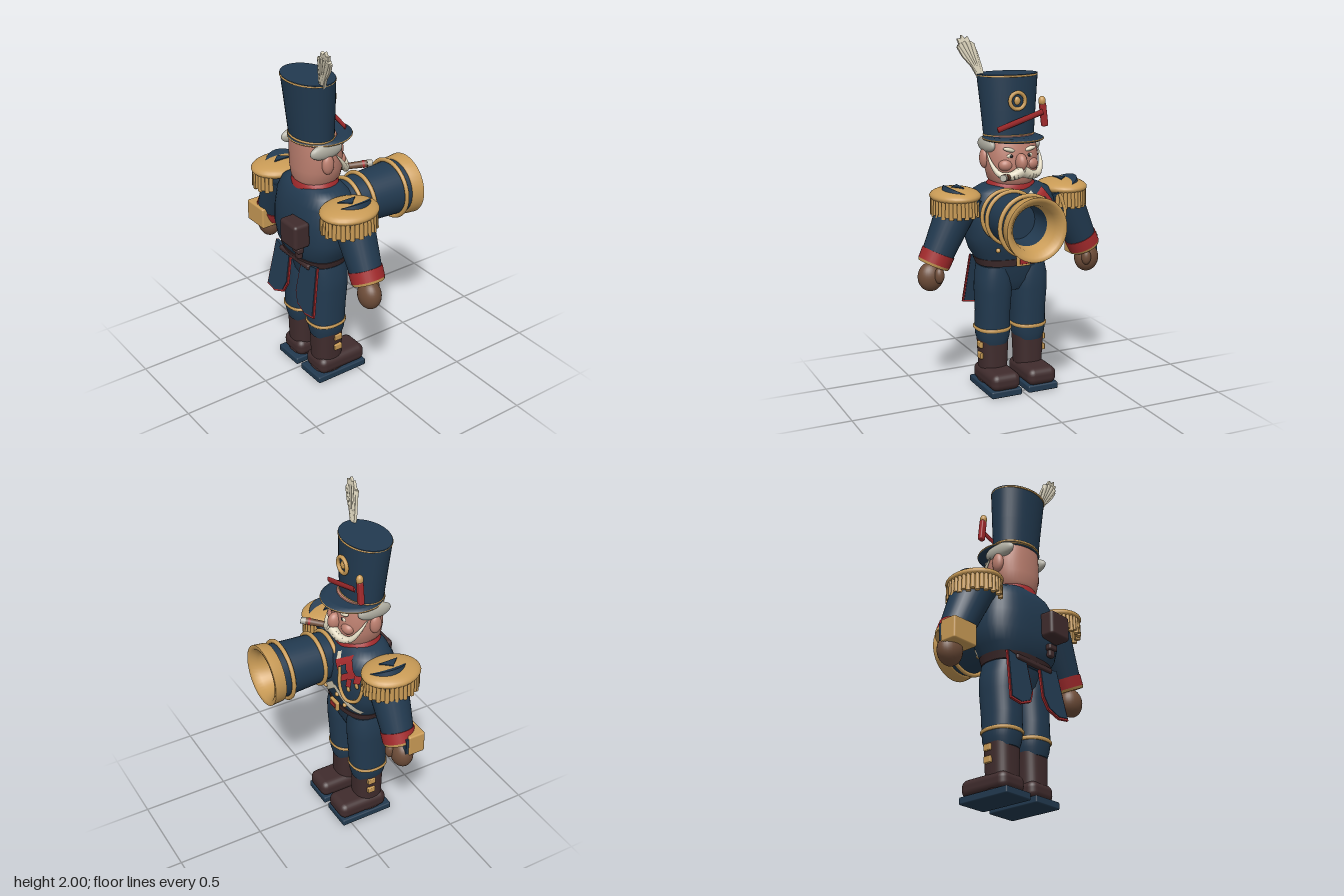
import * as THREE from 'three';
import { RoundedBoxGeometry } from 'three/addons/geometries/RoundedBoxGeometry.js';

const mat = (name, color) => Object.assign(new THREE.MeshStandardMaterial({ color }), { name });
const V = (x, y, z) => new THREE.Vector3(x, y, z);

// Rings are [y, halfX, centreZ, halfZ]; n is the squareness of the cross-section.
function loft(rings, n = 2, capped = true, seg = 40) {
  const pos = [], idx = [];
  const ring = ([y, hx, cz, hz]) => {
    const start = pos.length / 3;
    for (let j = 0; j < seg; j++) {
      const a = j / seg * Math.PI * 2, c = Math.cos(a), s = Math.sin(a);
      pos.push(hx * Math.sign(c) * Math.abs(c) ** (2 / n), y, cz + hz * Math.sign(s) * Math.abs(s) ** (2 / n));
    }
    return start;
  };
  const starts = rings.map(ring);
  for (let i = 0; i < starts.length - 1; i++) for (let j = 0; j < seg; j++) {
    const k = (j + 1) % seg, a = starts[i], b = starts[i + 1];
    idx.push(a + j, b + j, a + k, a + k, b + j, b + k);
  }
  if (capped) [rings[0], rings.at(-1)].forEach((r, top) => {
    const s = ring(r), c = pos.length / 3;
    pos.push(0, r[0], r[2]);
    for (let j = 0; j < seg; j++) {
      const k = (j + 1) % seg;
      idx.push(c, s + (top ? k : j), s + (top ? j : k));
    }
  });
  const g = new THREE.BufferGeometry();
  g.setAttribute('position', new THREE.Float32BufferAttribute(pos, 3));
  g.setIndex(idx);
  g.computeVertexNormals();
  return g;
}

const TORSO = [[0.72, 0.19, 0.15, 0.12], [0.76, 0.2, 0.155, 0.135], [0.82, 0.238, 0.155, 0.16], [0.9, 0.265, 0.15, 0.172],
  [1, 0.26, 0.143, 0.178], [1.1, 0.245, 0.142, 0.165], [1.155, 0.22, 0.145, 0.135], [1.18, 0.17, 0.15, 0.11], [1.195, 0.1, 0.15, 0.08]];

// Depth of the chest surface at x, y
function chestZ(x, y) {
  let i = 0;
  while (i < TORSO.length - 2 && TORSO[i + 1][0] < y) i++;
  const a = TORSO[i], b = TORSO[i + 1], t = (y - a[0]) / (b[0] - a[0]);
  const [, hx, cz, hz] = a.map((v, k) => v + (b[k] - v) * t);
  return cz - hz * (1 - Math.min(1, Math.abs(x / hx)) ** 2.5) ** 0.4;
}

// Flat band that hugs the chest from one point to another
function chestBand([x0, y0], [x1, y1], width, lift = 0.006) {
  const pos = [], idx = [], l = Math.hypot(x1 - x0, y1 - y0), N = 10;
  const sx = -(y1 - y0) / l * width / 2, sy = (x1 - x0) / l * width / 2;
  for (let i = 0; i <= N; i++) {
    const x = x0 + (x1 - x0) * i / N, y = y0 + (y1 - y0) * i / N;
    for (const s of [-1, 1]) pos.push(x + s * sx, y + s * sy, chestZ(x + s * sx, y + s * sy) - lift);
    if (i < N) idx.push(2 * i, 2 * i + 1, 2 * i + 2, 2 * i + 1, 2 * i + 3, 2 * i + 2);
  }
  const g = new THREE.BufferGeometry();
  g.setAttribute('position', new THREE.Float32BufferAttribute(pos, 3));
  g.setIndex(idx);
  g.computeVertexNormals();
  return g;
}

export function createModel() {
  const root = new THREE.Group();
  root.name = 'toySoldier';
  const navy = mat('navy', 0x223a50), red = mat('red', 0xa32a2c), gold = mat('gold', 0xc99b56), skin = mat('skin', 0xbd8070),
    leather = mat('darkLeather', 0x402c2d), glove = mat('gloveBrown', 0x6e4d39), ivory = mat('ivory', 0xddd5bd),
    grey = mat('greyHair', 0xb0aea2), black = mat('black', 0x1c1a1c);

  const add = (name, g, m, x = 0, y = 0, z = 0) => {
    const o = new THREE.Mesh(g, m);
    o.name = name;
    o.position.set(x, y, z);
    root.add(o);
    return o;
  };
  const ball = (name, m, x, y, z, rx, ry = rx, rz = rx) => add(name, new THREE.SphereGeometry(1, 28, 18).scale(rx, ry, rz), m, x, y, z);
  const box = (name, m, x, y, z, w, h, d, r = 0.01) => add(name, new RoundedBoxGeometry(w, h, d, 3, r), m, x, y, z);
  const rod = (name, m, a, b, r0, r1, seg = 28) => {
    const o = add(name, new THREE.CylinderGeometry(r1, r0, a.distanceTo(b), seg), m);
    o.position.copy(a).lerp(b, 0.5);
    o.quaternion.setFromUnitVectors(V(0, 1, 0), b.clone().sub(a).normalize());
    return o;
  };
  const tube = (name, m, pts, r) => add(name, new THREE.TubeGeometry(new THREE.CatmullRomCurve3(pts.map(p => V(...p))), 32, r, 8), m);
  const plate = (pts, depth) => new THREE.ExtrudeGeometry(new THREE.Shape(pts.map(p => new THREE.Vector2(...p))), { depth, bevelEnabled: false });
  const hoop = (name, m, y, hx, z, hz, r) => add(name, new THREE.TorusGeometry(1, r / hx, 8, 48).rotateX(Math.PI / 2).scale(hx, r * 0.9 / (r / hx), hz), m, 0, y, z);

  // Body
  add('torso', loft(TORSO, 2.5), navy);
  add('pelvis', loft([[0.58, 0.08, 0.15, 0.07], [0.64, 0.17, 0.15, 0.1], [0.74, 0.19, 0.15, 0.12]], 2.3), navy);
  add('belt', loft([[0.735, 0.199, 0.153, 0.137], [0.775, 0.214, 0.155, 0.147]], 2.5), leather);
  add('collar', loft([[1.165, 0.14, 0.145, 0.125], [1.19, 0.137, 0.145, 0.122], [1.215, 0.115, 0.145, 0.11]]), red);
  box('beltBuckle', gold, -0.01, 0.765, -0.003, 0.08, 0.055, 0.02, 0.006);
  box('buckleInset', red, -0.01, 0.765, -0.013, 0.05, 0.03, 0.008, 0.003);

  // Backpack, holster and back strap
  box('backPack', leather, 0.098, 0.965, 0.345, 0.15, 0.145, 0.1, 0.02);
  box('holster', leather, 0.095, 0.852, 0.325, 0.062, 0.035, 0.04);
  box('holsterTip', leather, 0.095, 0.825, 0.32, 0.042, 0.055, 0.03);
  box('backStrap', leather, 0, 0.742, 0.28, 0.28, 0.03, 0.03);

  // Chest ornaments
  [[[0.08, 0.83], [-0.05, 0.94]], [[-0.05, 0.935], [-0.2, 0.8]]].forEach(([a, b]) => add('waistcoatHem', chestBand(a, b, 0.042), ivory));
  add('ivoryLapel', chestBand([-0.05, 1.15], [-0.13, 1.02], 0.03), ivory);
  add('sashPatch', chestBand([-0.1, 1.14], [-0.17, 1.04], 0.1, 0.012), red);
  add('sashCentre', chestBand([-0.12, 1.11], [-0.15, 1.07], 0.045, 0.018), navy);
  for (const [x, y] of [[-0.18, 1.02], [-0.215, 1.05]]) {
    add('medalRibbon', chestBand([x, y + 0.03], [x, y - 0.02], 0.026, 0.018), red);
    ball('medal', gold, x, y - 0.035, chestZ(x, y) - 0.018, 0.017, 0.017, 0.008);
  }
  for (const [x, y] of [[-0.07, 0.88], [-0.2, 0.9], [0.06, 0.86], [0.14, 0.84], [-0.12, 0.83]])
    ball('coatButton', gold, x, y, chestZ(x, y) - 0.008, 0.013);
  tube('shoulderCord', gold, [[-0.25, 1.12, 0.03], [-0.275, 1.02, 0.01], [-0.245, 0.94, -0.005], [-0.19, 0.925, -0.035], [-0.14, 0.98, -0.045], [-0.11, 1.1, -0.03]], 0.01);

  for (const s of [-1, 1]) {
    // Legs and boots
    const leg = (name, rings, m, n) => add(name, loft(rings, n), m, s * 0.11);
    leg('trouserLeg', [[0.27, 0.08, 0.155, 0.09], [0.31, 0.094, 0.155, 0.1], [0.36, 0.098, 0.157, 0.105], [0.45, 0.095, 0.153, 0.108],
      [0.58, 0.103, 0.147, 0.112], [0.66, 0.1, 0.147, 0.115], [0.73, 0.085, 0.15, 0.11]], navy, 2.3);
    leg('kneeBand', [[0.347, 0.1, 0.157, 0.107], [0.352, 0.105, 0.157, 0.111], [0.362, 0.105, 0.157, 0.111], [0.367, 0.1, 0.157, 0.107]], gold, 2.3);
    leg('bootShaft', [[0.04, 0.082, 0.155, 0.085], [0.13, 0.078, 0.155, 0.082], [0.32, 0.088, 0.155, 0.084]], leather, 2.6);
    box('bootFoot', leather, s * 0.112, 0.083, 0.093, 0.176, 0.1, 0.305, 0.04);
    box('bootSole', navy, s * 0.113, 0.02, 0.107, 0.185, 0.04, 0.325, 0.008);
    for (const y of [0.265, 0.2]) box('bootBuckle', gold, s * 0.195, y, 0.135, 0.02, 0.036, 0.048, 0.005);

    // Coat tails with red piping
    const tail = [[0.2, 0.76], [0.228, 0.47], [0.15, 0.458], [0.07, 0.49], [0.04, 0.555], [0.05, 0.73]];
    [[1, red, 0.012, 0.004, 'coatTailPiping'], [0.9, navy, 0.02, 0, 'coatTail']].forEach(([k, m, d, off, name]) => {
      const pts = tail.map(([x, y]) => [s * (0.135 + (x - 0.135) * k), (y - 0.75) * (k === 1 ? 1 : 0.965)]);
      add(name, plate(pts, d).rotateX(-0.13).translate(0, 0, off), m, 0, 0.75, 0.26).rotation.x = -0.04;
    });

    // Arms, cuffs and gloves
    const at = t => V(s * (0.29 + 0.165 * t), 1.15 - 0.35 * t, 0.135);
    rod('sleeve', navy, at(0), at(1), 0.118, 0.086);
    ball('shoulder', navy, s * 0.29, 1.1, 0.14, 0.1, 0.08, 0.11);
    rod('cuff', red, at(0.9), at(1.06), 0.094, 0.092);
    rod('cuffTrim', gold, at(1.06), at(1.1), 0.092, 0.086);
    ball('glove', glove, s * 0.485, 0.7, 0.14, 0.073, 0.082, 0.06);
    ball('gloveThumb', glove, s * 0.455, 0.715, 0.085, 0.028, 0.045, 0.028);

    // Epaulettes
    ball('epaulette', gold, s * 0.327, 1.138, 0.157, 0.138, 0.046, 0.168);
    add('epauletteMark', plate([[s * 0.297, 0.055], [s * 0.35, 0], [s * 0.297, -0.055]], 0.012).rotateX(-Math.PI / 2), navy, 0, 1.176, 0.155);
    for (let i = 0; i < 28; i++) {
      const a = (i / 27 - 0.5) * 4.6, x = s * (0.327 + 0.122 * Math.cos(a)), z = 0.157 + 0.15 * Math.sin(a);
      rod('fringe', gold, V(x, 1.13, z), V(x, 1.03 + 0.012 * (i % 2), z), 0.011, 0.014, 8);
    }

    // Sides of the face
    ball('ear', skin, s * 0.15, 1.33, 0.165, 0.025, 0.055, 0.035);
    ball('sideHair', grey, s * 0.135, 1.405, 0.165, 0.03, 0.045, 0.1);
    ball('eye', ivory, s * 0.055, 1.355, 0.026, 0.022, 0.014, 0.012);
    ball('pupil', black, s * 0.053, 1.355, 0.016, 0.009, 0.01, 0.006);
    ball('eyebrow', ivory, s * 0.062, 1.39, 0.025, 0.036, 0.012, 0.016).rotation.z = s * 0.25;
    ball('cheek', skin, s * 0.075, 1.305, 0.04, 0.042, 0.035, 0.035);
    const curl = new THREE.CatmullRomCurve3([V(0, 1.275, -0.012), V(s * 0.06, 1.25, -0.006), V(s * 0.115, 1.255, 0.025), V(s * 0.148, 1.31, 0.065), V(s * 0.155, 1.375, 0.115)]);
    const N = 14;
    for (let i = 0; i < N; i++) rod('moustache', ivory, curl.getPoint(i / N), curl.getPoint((i + 1.1) / N > 1 ? 1 : (i + 1.1) / N),
      0.029 * (1 - i / N) + 0.003, 0.029 * (1 - (i + 1) / N) + 0.003, 14);
  }

  // Head
  add('head', loft([[1.16, 0.07, 0.14, 0.08], [1.185, 0.105, 0.14, 0.11], [1.22, 0.132, 0.14, 0.127], [1.28, 0.147, 0.138, 0.134],
    [1.35, 0.15, 0.14, 0.132], [1.42, 0.142, 0.148, 0.125], [1.46, 0.13, 0.155, 0.115]], 2.2), skin);
  ball('nose', skin, 0, 1.32, 0.002, 0.032, 0.05, 0.042);
  rod('cigar', glove, V(0.06, 1.24, 0.025), V(0.148, 1.263, -0.095), 0.016, 0.02);
  rod('cigarBand', red, V(0.133, 1.259, -0.074), V(0.14, 1.261, -0.084), 0.021, 0.021);
  rod('cigarAsh', grey, V(0.148, 1.263, -0.095), V(0.163, 1.267, -0.118), 0.02, 0.018);

  // Hat
  add('hat', loft([[1.445, 0.145, 0.165, 0.108], [1.6, 0.158, 0.172, 0.118], [1.79, 0.176, 0.183, 0.127]]), navy);
  add('hatBrim', loft([[1.432, 0.155, 0.11, 0.165], [1.437, 0.167, 0.11, 0.173], [1.447, 0.167, 0.11, 0.173], [1.455, 0.15, 0.12, 0.15]]), navy);
  hoop('brimTrim', gold, 1.442, 0.165, 0.11, 0.171, 0.005);
  hoop('hatBaseBand', gold, 1.457, 0.142, 0.166, 0.109, 0.007);
  hoop('hatTopBand', gold, 1.782, 0.17, 0.183, 0.127, 0.006);
  add('badgeRing', new THREE.TorusGeometry(0.045, 0.011, 10, 32), gold, 0, 1.65, 0.047);
  ball('badgeBoss', gold, 0, 1.65, 0.052, 0.018, 0.024, 0.012);
  const band = rod('hatCord', red, V(0.125, 1.5, 0.034), V(-0.145, 1.585, 0.034), 0.016, 0.016, 4);
  band.scale.z = 0.4;
  box('tassel', red, -0.163, 1.565, 0.06, 0.036, 0.13, 0.03, 0.008).rotation.z = -0.12;
  ball('tasselKnob', gold, -0.153, 1.64, 0.06, 0.02, 0.028, 0.02);

  // Feather with notched tip and raised ribs
  const feather = new THREE.Group();
  feather.name = 'feather';
  feather.position.set(0, 1.77, 0.19);
  feather.rotation.x = 0.2;
  root.add(feather);
  feather.add(add('featherVane', plate([[0.13, 0], [0.17, 0], [0.2, 0.06], [0.25, 0.12], [0.275, 0.17], [0.262, 0.185], [0.272, 0.215], [0.252, 0.212],
    [0.246, 0.234], [0.228, 0.214], [0.212, 0.226], [0.198, 0.2], [0.18, 0.19], [0.16, 0.14], [0.143, 0.07]], 0.016), ivory));
  for (const x of [0.185, 0.212, 0.238, 0.26])
    feather.add(rod('featherRib', ivory, V(0.15, 0, 0.008), V(x, 0.2 - Math.abs(x - 0.225) * 0.4, 0.01), 0.01, 0.015, 8));

  // Cannon, muzzle towards the chest's front
  const bore = (name, rings, m, capped) => add(name, loft(rings.map(([d, r]) => [d, r, 0, r]), 2, capped).rotateX(-Math.PI / 2), m, 0.097, 1.038, 0);
  bore('cannonBarrel', [[-0.06, 0.125], [0.08, 0.138], [0.285, 0.15], [0.335, 0.153]], navy, false);
  bore('muzzleOuter', [[0.33, 0.15], [0.33, 0.165], [0.398, 0.172]], gold, false);
  bore('muzzleLip', [[0.398, 0.172], [0.4, 0.165], [0.395, 0.148], [0.36, 0.122], [0.29, 0.108]], gold, false);
  bore('cannonBore', [[0.29, 0.108], [0.16, 0.1]], navy, false);
  add('boreEnd', new THREE.CircleGeometry(0.1, 32).rotateY(Math.PI), navy, 0.097, 1.038, -0.161);
  for (const [z, r] of [[0, 0.137], [-0.08, 0.145], [-0.285, 0.162]]) add('cannonRing', new THREE.TorusGeometry(r, 0.012, 10, 48), gold, 0.097, 1.038, z);

  // Gold case in the right hand
  box('handCase', gold, -0.473, 0.785, 0.19, 0.165, 0.125, 0.1, 0.01);
  box('caseEdge', navy, -0.515, 0.785, 0.134, 0.07, 0.1, 0.02, 0.004);
  return root;
}
